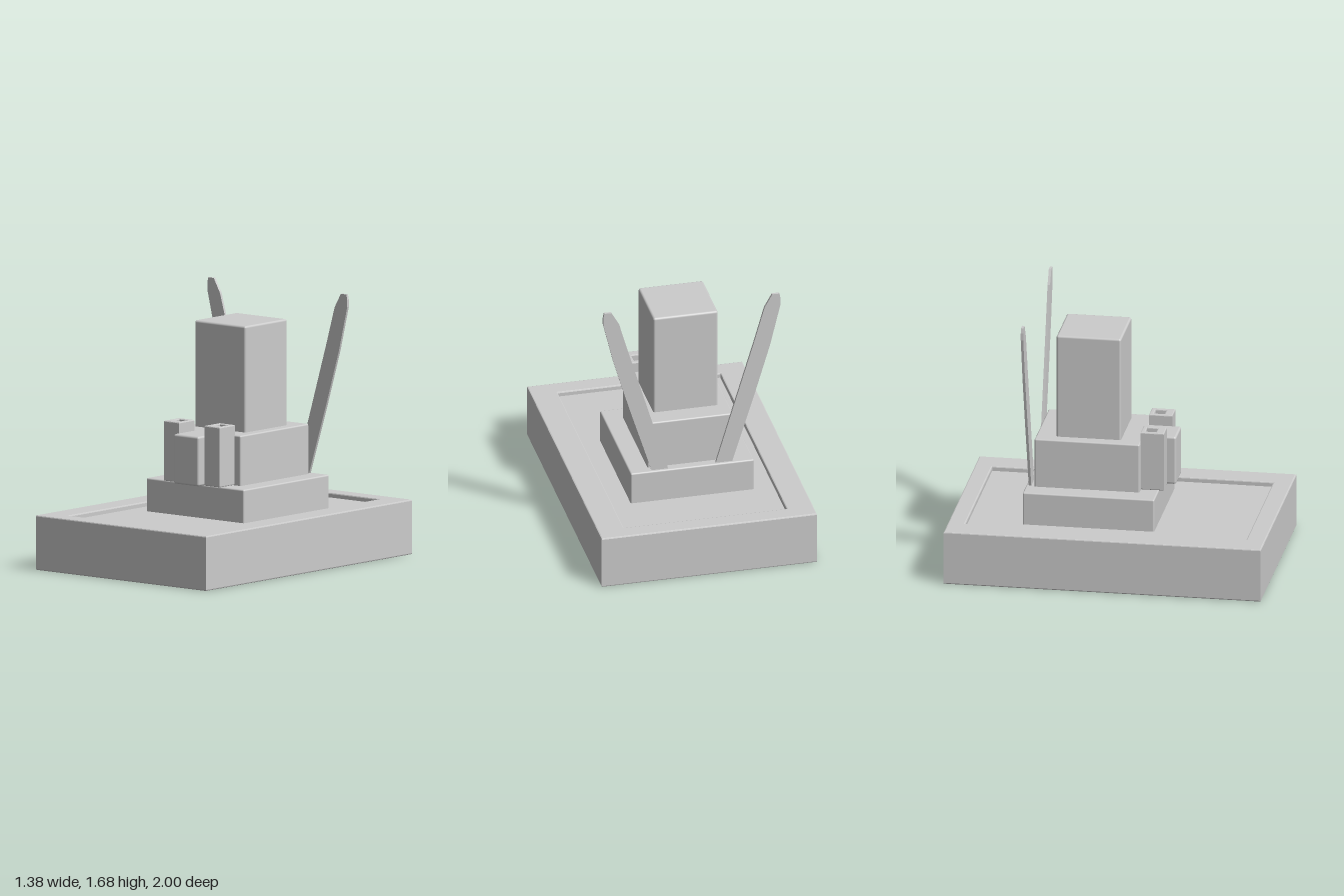
import * as THREE from 'three';
import { RoundedBoxGeometry } from 'three/addons/geometries/RoundedBoxGeometry.js';

const material = new THREE.MeshStandardMaterial({ color: 0xcccccc });

export function createModel() {
  const model = new THREE.Group();

  function add(name, geometry) {
    const mesh = new THREE.Mesh(geometry, material);
    mesh.name = name;
    model.add(mesh);
    return mesh;
  }

  // Softly rounded block given by its limits on each axis
  function block(name, [x0, x1], [y0, y1], [z0, z1], radius = 0.01) {
    const mesh = add(name, new RoundedBoxGeometry(x1 - x0, y1 - y0, z1 - z0, 2, radius));
    mesh.position.set((x0 + x1) / 2, (y0 + y1) / 2, (z0 + z1) / 2);
    return mesh;
  }

  function trace(path, x0, x1, z0, z1) {
    path.moveTo(x0, -z1);
    path.lineTo(x1, -z1);
    path.lineTo(x1, -z0);
    path.lineTo(x0, -z0);
    path.closePath();
    return path;
  }

  // Upright rectangular frame with a rectangular opening and bevelled rims
  function frame(name, outer, inner, [y0, y1], bevel) {
    const shape = trace(new THREE.Shape(), ...outer);
    shape.holes.push(trace(new THREE.Path(), ...inner));
    const geometry = new THREE.ExtrudeGeometry(shape, {
      depth: y1 - y0 - 2 * bevel, bevelThickness: bevel, bevelSize: bevel,
      bevelOffset: -bevel, bevelSegments: 2,
    });
    geometry.rotateX(-Math.PI / 2).translate(0, y0 + bevel, 0);
    return add(name, geometry);
  }

  // Base with a shallow recessed tray
  frame('baseRim', [-0.69, 0.69, -1, 1], [-0.52, 0.52, -0.89, 0.88], [0, 0.345], 0.008);
  const floor = add('baseFloor', new THREE.BoxGeometry(1.06, 0.315, 1.79));
  floor.position.set(0, 0.1575, -0.005);

  // Stepped pedestal and tower
  block('lowerStep', [-0.395, 0.395], [0.29, 0.525], [-0.55, 0.28]);
  block('upperStep', [-0.275, 0.275], [0.5, 0.84], [-0.495, 0.168]);
  block('tower', [-0.207, 0.207], [0.8, 1.508], [-0.368, 0.04], 0.014);

  // Projecting front block, overhanging the lower step
  block('frontBlock', [-0.102, 0.102], [0.527, 0.84], [0.1, 0.37], 0.014);

  // Hollow-topped posts either side of the front block
  for (const side of [-1, 1]) {
    const name = side > 0 ? 'left' : 'right';
    const cx = side * 0.164;
    frame(name + 'Post', [cx - 0.062, cx + 0.062, 0.165, 0.313],
      [cx - 0.034, cx + 0.034, 0.193, 0.26], [0.527, 0.905], 0.006);
    const plug = add(name + 'PostFloor', new THREE.BoxGeometry(0.08, 0.335, 0.08));
    plug.position.set(cx, 0.697, 0.2265);
  }

  // Thin blades splaying outwards behind the pedestal
  const bladeOutline = [
    [0.15, 0.515], [0.255, 0.515], [0.4, 0.98], [0.5, 1.32], [0.567, 1.6],
    [0.567, 1.645], [0.56, 1.678], [0.515, 1.678], [0.465, 1.59], [0.4, 1.36], [0.25, 0.855],
  ];
  for (const side of [-1, 1]) {
    // Mirrored outline, kept counter-clockwise
    const points = bladeOutline.map(([x, y]) => new THREE.Vector2(x * side, y));
    if (side < 0) points.reverse();
    const geometry = new THREE.ExtrudeGeometry(new THREE.Shape(points), { depth: 0.016, bevelEnabled: false });
    add(side > 0 ? 'leftBlade' : 'rightBlade', geometry.translate(0, 0, -0.533));
  }

  return model;
}
